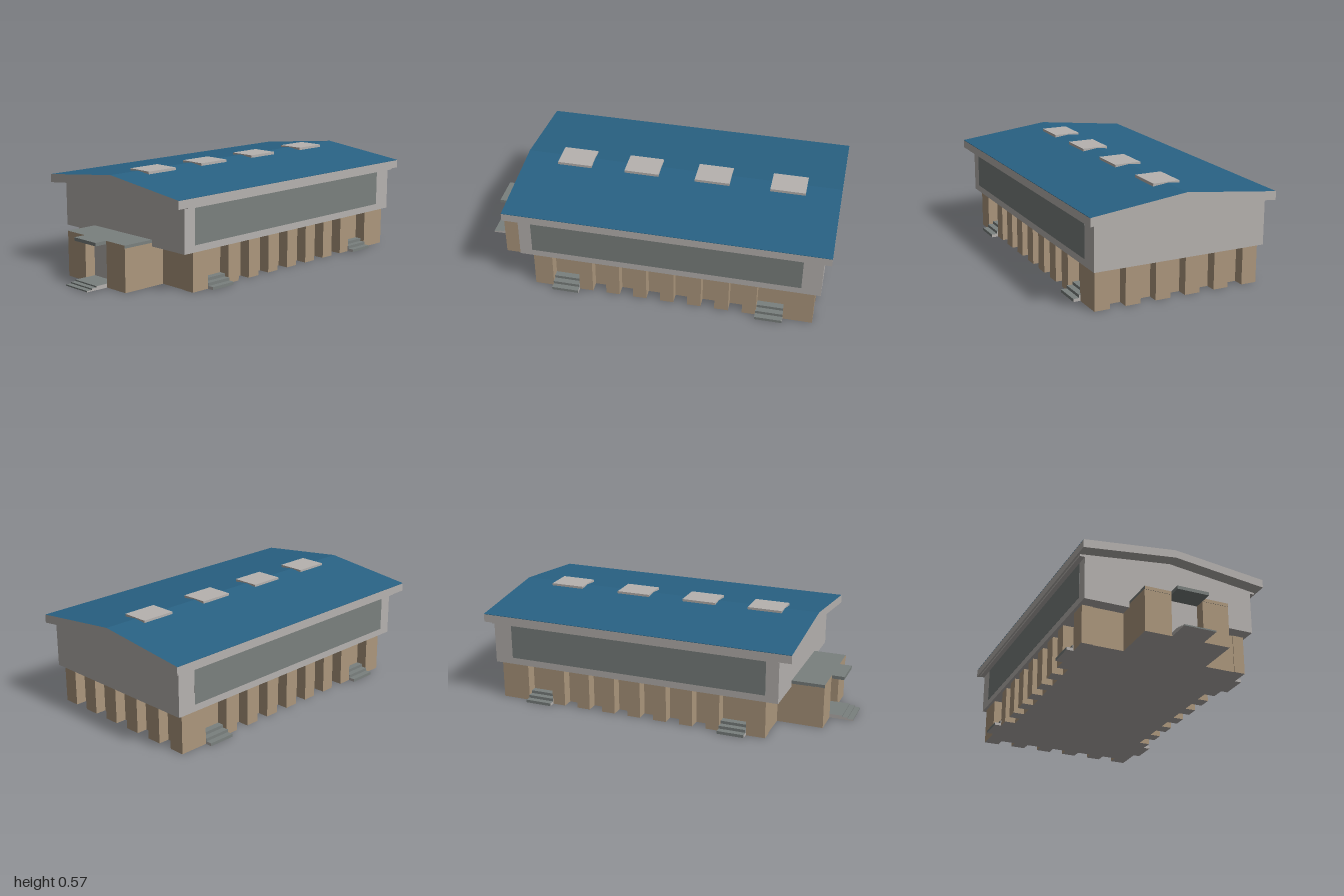
import * as THREE from 'three';

export function createModel() {
  const model = new THREE.Group();
  model.name = 'hall';
  const mat = (name, color) => {
    const m = new THREE.MeshStandardMaterial({ color });
    m.name = name;
    return m;
  };
  const blue = mat('blueRoof', 0x296284);
  const light = mat('lightGrey', 0xb6b2af);
  const brown = mat('brownCladding', 0xac977d);
  const dark = mat('darkGrey', 0x7a807e);

  const add = (name, geo, m, parent = model) => {
    const mesh = new THREE.Mesh(geo, m);
    mesh.name = name;
    parent.add(mesh);
    return mesh;
  };
  // Box given by its limits along each axis
  const box = (name, x0, x1, y0, y1, z0, z1, m, parent) => {
    const g = new THREE.BoxGeometry(x1 - x0, y1 - y0, z1 - z0);
    g.translate((x0 + x1) / 2, (y0 + y1) / 2, (z0 + z1) / 2);
    return add(name, g, m, parent);
  };
  // Extruded gable cross-section, either flat-bottomed or following the slope
  const gable = (name, hw, eave, ridge, botEave, botRidge, z0, z1, m) => {
    const s = new THREE.Shape([
      [-hw, botEave], [0, botRidge], [hw, botEave], [hw, eave], [0, ridge], [-hw, eave],
    ].map(([x, y]) => new THREE.Vector2(x, y)));
    const g = new THREE.ExtrudeGeometry(s, { depth: z1 - z0, bevelEnabled: false });
    g.translate(0, 0, z0);
    return add(name, g, m);
  };

  // Face colours: +x, -x, top, underside, +z, -z
  const wallMats = [brown, brown, brown, light, brown, brown];
  const sideStepMats = [dark, dark, dark, light, light, light];
  const frontStepMats = [light, light, dark, light, dark, dark];
  const porchRoofMats = [dark, dark, dark, dark, brown, dark];

  // Upper storey and pitched roof
  gable('upperWalls', 0.483, 0.475, 0.53, 0.213, 0.213, -0.96, 0.69, light);
  gable('roofSlab', 0.521, 0.502, 0.562, 0.458, 0.52, -1, 0.765, light);
  gable('roofCovering', 0.521, 0.504, 0.564, 0.502, 0.562, -1, 0.765, [light, blue]);

  // Skylights along the ridge
  for (const z of [-0.713, -0.298, 0.097, 0.478])
    box('skylight', -0.067, 0.083, 0.545, 0.569, z - 0.096, z + 0.096, light);

  // Lower storey: recessed core
  box('lowerCore', -0.405, 0.405, 0, 0.215, -0.87, 0.616, wallMats);

  // Both long sides
  for (const s of [-1, 1]) {
    const side = new THREE.Group();
    side.name = s > 0 ? 'leftSide' : 'rightSide';
    model.add(side);
    const sbox = (name, xa, xb, y0, y1, z0, z1, m) =>
      box(name, Math.min(s * xa, s * xb), Math.max(s * xa, s * xb), y0, y1, z0, z1, m, side);

    sbox('windowBand', 0.478, 0.484, 0.25, 0.452, -0.855, 0.62, dark);
    sbox('soffitStrip', 0.48, 0.51, 0.449, 0.464, -0.96, 0.69, light);
    sbox('frontCornerBlock', 0.405, 0.467, 0, 0.215, 0.515, 0.62, wallMats);
    sbox('backCornerBlock', 0.405, 0.467, 0, 0.215, -0.93, -0.77, wallMats);

    // Wall fins
    for (let i = 0; i < 7; i++) {
      const z1 = 0.365 - i * 0.152;
      sbox('sideFin', 0.405, 0.467, 0, 0.215, z1 - 0.076, z1, wallMats);
    }
    // Steps to the side entrances
    for (const [z0, z1] of [[0.365, 0.515], [-0.77, -0.62]])
      [0.505, 0.473, 0.441].forEach((x, i) =>
        sbox('sideStep', 0.405, x, i * 0.016, (i + 1) * 0.016, z0, z1, sideStepMats));
  }

  // Fins across the back between the corner blocks
  const pitch = 0.93 / 11;
  for (let i = 0; i < 6; i++) {
    const x = -0.465 + 2 * i * pitch;
    box('backFin', x, x + pitch, 0, 0.215, -0.93, -0.87, wallMats);
  }

  // Entrance porch with recessed door
  for (const s of [-1, 1])
    box('porchWall', s < 0 ? -0.235 : 0.088, s < 0 ? -0.088 : 0.235, 0, 0.232, 0.616, 0.87, wallMats);
  box('entranceDoor', -0.088, 0.088, 0.02, 0.232, 0.616, 0.81, light);
  box('porchFloor', -0.088, 0.088, 0, 0.02, 0.616, 0.87, frontStepMats);
  box('porchRoof', -0.235, 0.235, 0.23, 0.248, 0.616, 0.872, porchRoofMats);
  box('entranceCanopy', -0.088, 0.088, 0.23, 0.248, 0.87, 0.94, dark);
  [1, 0.97, 0.94].forEach((z, i) =>
    box('entranceStep', -0.088, 0.088, i * 0.007, (i + 1) * 0.007, 0.87, z, frontStepMats));

  return model;
}
